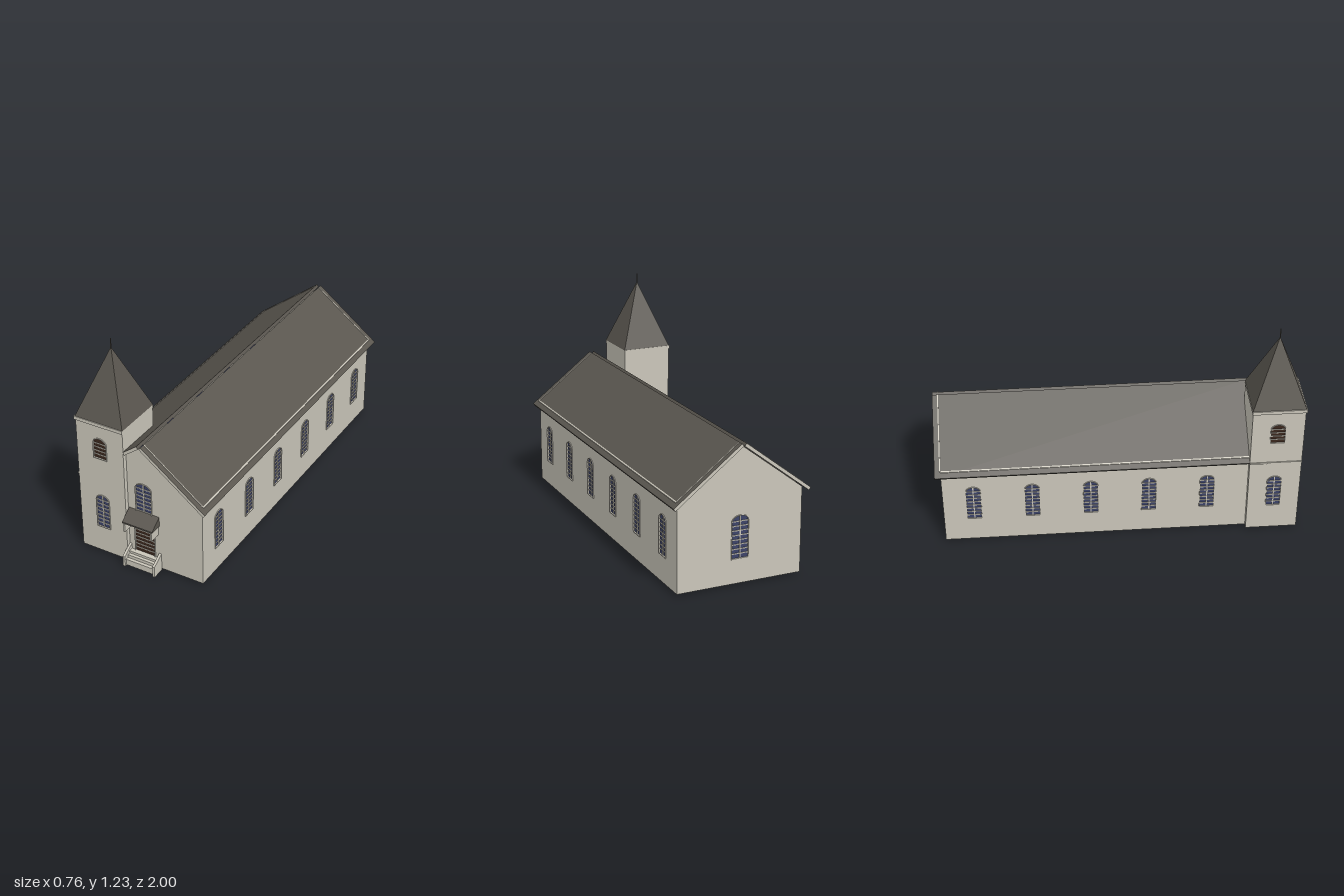
import * as THREE from 'three';

const mat = (name, color) => Object.assign(new THREE.MeshStandardMaterial({ color }), { name });

export function createModel() {
  const cream = mat('cream siding', 0xcac6ba);
  const slate = mat('dark slate', 0x5a564f);
  const blue = mat('blue glass', 0x3c4368);
  const brown = mat('dark brown wood', 0x3a271d);

  const model = new THREE.Group();
  model.name = 'church';
  const T = 0.012; // wall thickness

  function add(parent, name, geometry, material) {
    const mesh = new THREE.Mesh(geometry, material);
    mesh.name = name;
    parent.add(mesh);
    return mesh;
  }
  function box(parent, name, material, x0, x1, y0, y1, z0, z1) {
    const mesh = add(parent, name, new THREE.BoxGeometry(x1 - x0, y1 - y0, z1 - z0), material);
    mesh.position.set((x0 + x1) / 2, (y0 + y1) / 2, (z0 + z1) / 2);
    return mesh;
  }
  const polygon = (pts) => new THREE.Shape(pts.map(([x, y]) => new THREE.Vector2(x, y)));
  // Extrude a shape between two depths
  function slab(shape, z0, z1) {
    const g = new THREE.ExtrudeGeometry(shape, { depth: z1 - z0, bevelEnabled: false, curveSegments: 8 });
    return g.translate(0, 0, z0);
  }

  // Opening outline: rectangle with an optional low arch on top
  function outline({ x, y0, y1, hw, rise = 0.03 }, grow = 0) {
    const w = hw + grow, spring = y1 - rise;
    const s = new THREE.Shape();
    s.moveTo(x - w, y0 - grow);
    s.lineTo(x + w, y0 - grow);
    if (rise > 0) {
      s.lineTo(x + w, spring);
      s.absellipse(x, spring, w, rise + grow, 0, Math.PI, false);
    } else {
      s.lineTo(x + w, y1 + grow);
      s.lineTo(x - w, y1 + grow);
    }
    s.closePath();
    return s;
  }

  // Pane, frame and bars filling one opening
  function fillOpening(parent, o) {
    const g = new THREE.Group();
    g.name = o.kind;
    parent.add(g);
    const isGlass = o.kind === 'window';
    add(g, isGlass ? 'glass' : 'panel', slab(outline(o), -0.009, -0.003), isGlass ? blue : brown);
    const frame = outline(o, 0.004);
    frame.holes.push(outline(o));
    add(g, 'frame', slab(frame, -0.002, 0.005), cream);
    const rise = o.rise ?? 0.03;
    const bar = isGlass ? 0.005 : 0.004;
    const rows = Math.round((o.y1 - rise - o.y0) / 0.024);
    for (let i = 1; i <= rows; i++) {
      const y = o.y0 + ((o.y1 - rise - o.y0) * i) / rows;
      if (rise === 0 && i === rows) continue;
      box(g, 'crossBar', cream, o.x - o.hw, o.x + o.hw, y - bar / 2, y + bar / 2, -0.004, 0.001);
    }
    if (isGlass) box(g, 'centreBar', cream, o.x - 0.003, o.x + 0.003, o.y0, o.y1 - 0.002, -0.004, 0.001);
  }

  // Wall drawn in its own plane, outer face at local z = 0
  function wall(name, pts, openings, position, turn) {
    const g = new THREE.Group();
    g.name = name;
    const shape = polygon(pts);
    openings.forEach((o) => shape.holes.push(outline(o)));
    add(g, 'siding', slab(shape, -T, 0), cream);
    openings.forEach((o) => fillOpening(g, o));
    g.position.set(...position);
    g.rotation.y = turn;
    model.add(g);
  }
  const win = (x, y0, y1, hw) => ({ kind: 'window', x, y0, y1, hw });
  const louver = (x) => ({ kind: 'louver', x, y0: 0.6, y1: 0.717, hw: 0.037 });

  // Nave walls
  const Q = Math.PI / 2, base = 0.01, eave = 0.47, peak = 0.733;
  const sideZ = [0.77, 0.455, 0.14, -0.175, -0.49, -0.805];
  wall('frontWall',
    [[-0.095, base], [0.345, base], [0.345, eave], [0, peak], [-0.095, 0.661]],
    [win(0, 0.29, 0.505, 0.045), { kind: 'door', x: 0, y0: 0.072, y1: 0.255, hw: 0.058, rise: 0 }],
    [0, 0, 0.93], 0);
  wall('backWall',
    [[-0.345, base], [0.345, base], [0.345, eave], [0, peak], [-0.345, eave]],
    [win(0, 0.145, 0.37, 0.045)], [0, 0, -0.97], Math.PI);
  wall('leftWall', [[-0.93, base], [0.97, base], [0.97, eave], [-0.93, eave]],
    sideZ.map((z) => win(-z, 0.157, 0.37, 0.037)), [0.345, 0, 0], Q);
  wall('rightWall', [[-0.97, base], [0.675, base], [0.675, eave], [-0.97, eave]],
    sideZ.slice(1).map((z) => win(z, 0.157, 0.37, 0.037)), [-0.345, 0, 0], -Q);

  // Tower walls; the inner two stop at the roof
  const top = 0.795;
  wall('towerFront', [[-0.375, base], [-0.095, base], [-0.095, top], [-0.375, top]],
    [win(-0.235, 0.17, 0.367, 0.037), louver(-0.235)], [0, 0, 0.955], 0);
  wall('towerRight', [[0.675, base], [0.955, base], [0.955, top], [0.675, top]],
    [win(0.815, 0.17, 0.367, 0.037), louver(0.815)], [-0.375, 0, 0], -Q);
  wall('towerLeft',
    [[-0.955, base], [-0.93, base], [-0.93, 0.66], [-0.675, 0.66], [-0.675, top], [-0.955, top]],
    [], [-0.095, 0, 0], Q);
  wall('towerBack',
    [[0.095, 0.66], [0.345, eave], [0.345, base], [0.375, base], [0.375, top], [0.095, top]],
    [], [0, 0, 0.675], Math.PI);
  box(model, 'towerTrim', cream, -0.381, -0.374, 0.46, 0.469, 0.675, 0.955);
  box(model, 'towerCornice', cream, -0.382, -0.094, 0.793, 0.812, 0.672, 0.961);

  // Spire and finial
  const spireGeo = new THREE.ConeGeometry(0.142 * Math.SQRT2, 0.37, 4).rotateY(Math.PI / 4).toNonIndexed();
  spireGeo.computeVertexNormals();
  add(model, 'spire', spireGeo, slate).position.set(-0.235, 0.996, 0.815);
  add(model, 'finial', new THREE.CylinderGeometry(0.003, 0.003, 0.06, 8), slate).position.set(-0.235, 1.2, 0.815);

  // Roof slabs with pale ends; the right one is cut around the tower
  const slope = 0.28 / 0.366;
  function roofSlab(name, side, reach, z0, z1) {
    const k = reach - 0.01;
    const pts = [[0.002, 0.736], [k, 0.736 - slope * (k - 0.002)],
      [reach, 0.75 - slope * (reach - 0.012)], [0.012, 0.75]];
    add(model, name, slab(polygon(pts.map(([x, y]) => [side * x, y])), z0, z1), [cream, slate]);
  }
  roofSlab('leftRoof', 1, 0.378, -1, 0.96);
  roofSlab('rightRoof', -1, 0.378, -1, 0.675);
  roofSlab('rightRoofFront', -1, 0.095, 0.675, 0.96);

  // Thin pale strips lying on the roof near its edges
  function roofStrip(side, xa, xb, z0, z1) {
    const at = (x, lift) => [side * x, 0.75 - slope * (x - 0.012) + lift];
    add(model, 'roofStrip', slab(polygon([at(xa, 0), at(xb, 0), at(xb, 0.003), at(xa, 0.003)]), z0, z1), cream);
  }
  roofStrip(1, 0.348, 0.354, -0.97, 0.93);
  roofStrip(-1, 0.348, 0.354, -0.97, 0.675);
  for (const side of [-1, 1]) roofStrip(side, 0.014, 0.348, -0.973, -0.968);
  roofStrip(1, 0.014, 0.348, 0.926, 0.931);

  // Entrance steps with sloping side walls
  [[0.072, 0.955], [0.058, 0.972], [0.04, 0.99]].forEach(([h, z]) =>
    box(model, 'step', cream, -0.084, 0.084, 0.005, h, 0.93, z));
  const profile = polygon([[-1, 0], [-0.93, 0], [-0.93, 0.104], [-1, 0.062]]);
  for (const x of [-0.09, 0.09]) {
    const cheek = add(model, 'stepSideWall', slab(profile, -0.007, 0.007), cream);
    cheek.rotation.y = Q;
    cheek.position.x = x;
  }

  // Door canopy on brackets
  const canopy = add(model, 'canopy',
    slab(polygon([[-1, 0.278], [-0.93, 0.278], [-0.93, 0.335], [-1, 0.286]]), -0.09, 0.09), slate);
  canopy.rotation.y = Q;
  for (const x of [-0.08, 0.08])
    box(model, 'canopyBracket', cream, x - 0.004, x + 0.004, 0.225, 0.279, 0.93, 0.998);

  return model;
}
